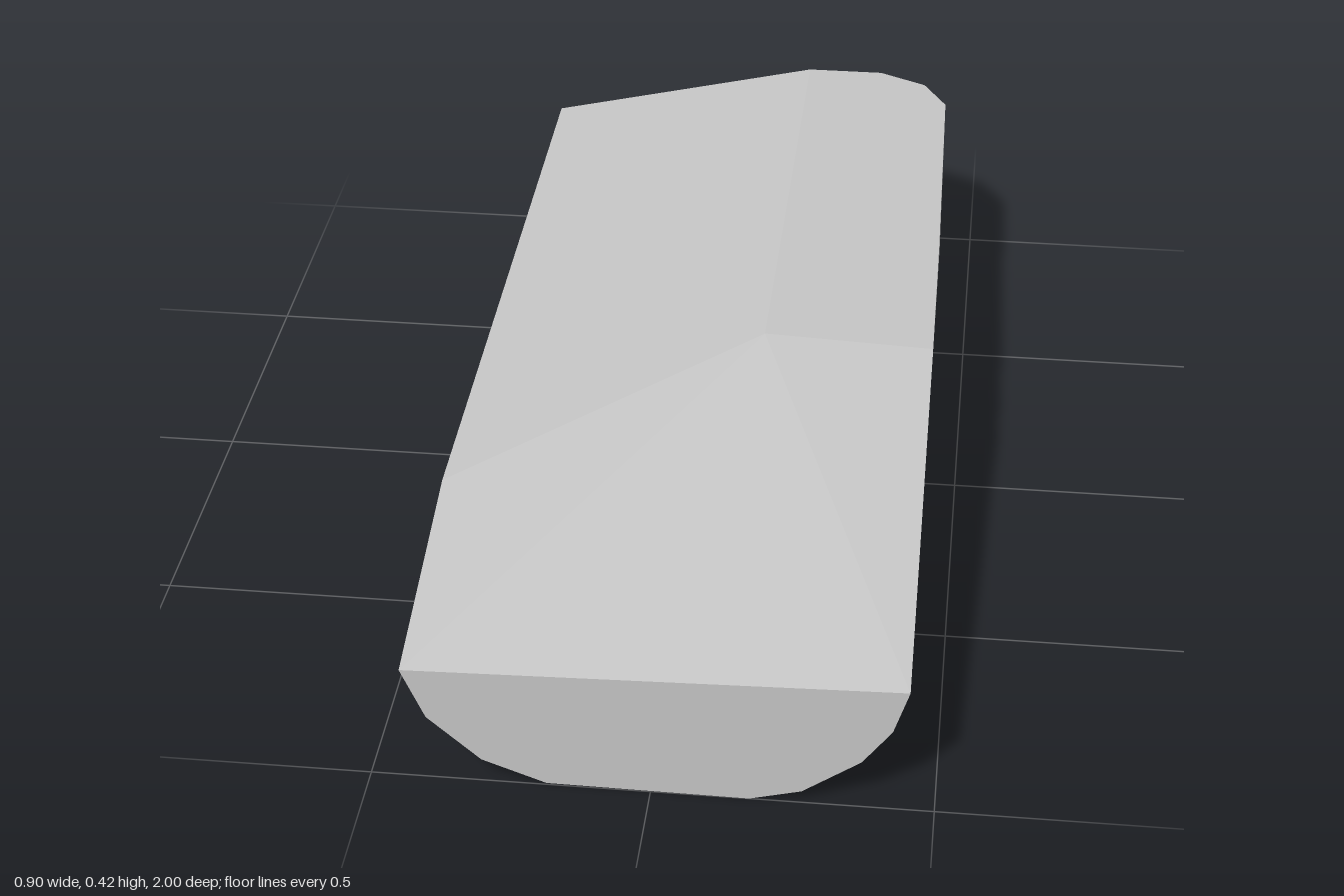
import * as THREE from 'three';
import { ConvexGeometry } from 'three/addons/geometries/ConvexGeometry.js';

// Places a list of [x, y] section points at one depth z
const section = (z, pts) => pts.map(([x, y]) => new THREE.Vector3(x, y, z));

export function createModel() {
  const group = new THREE.Group();
  group.name = 'facetedSlab';
  const grey = new THREE.MeshStandardMaterial({ color: 0xc4c4c4 });
  grey.name = 'stoneGrey';

  const points = [
    // flat front face
    ...section(1, [[-0.437, 0.236], [-0.395, 0.135], [-0.3, 0.047], [-0.185, 0.003],
      [0.175, 0], [0.267, 0.025], [0.37, 0.1], [0.422, 0.172], [0.449, 0.26]]),
    // start of the sloping nose
    ...section(0.58, [[-0.45, 0]]),
    ...section(0.5, [[-0.45, 0.29]]),
    ...section(0.13, [[0.12, 0.42], [0.445, 0.406]]),
    // rounded flank
    ...section(-0.25, [[0.441, 0.42]]),
    ...section(-0.46, [[0.28, 0.027], [0.345, 0.068], [0.416, 0.16], [0.439, 0.29]]),
    // rounded rear corner
    ...section(-0.86, [[-0.45, 0], [0.2, 0.01], [0.27, 0.03], [0.35, 0.085], [0.405, 0.17],
      [0.426, 0.24], [0.43, 0.42]]),
    ...section(-0.95, [[-0.45, 0.05], [0.22, 0.06], [0.3, 0.09], [0.355, 0.18], [0.38, 0.42]]),
    // flat rear face
    ...section(-1, [[-0.45, 0.29], [-0.45, 0.15], [0.22, 0.16], [0.27, 0.25], [0.28, 0.42], [0.12, 0.42]]),
  ];

  const body = new THREE.Mesh(new ConvexGeometry(points), grey);
  body.name = 'slabBody';
  group.add(body);
  return group;
}
